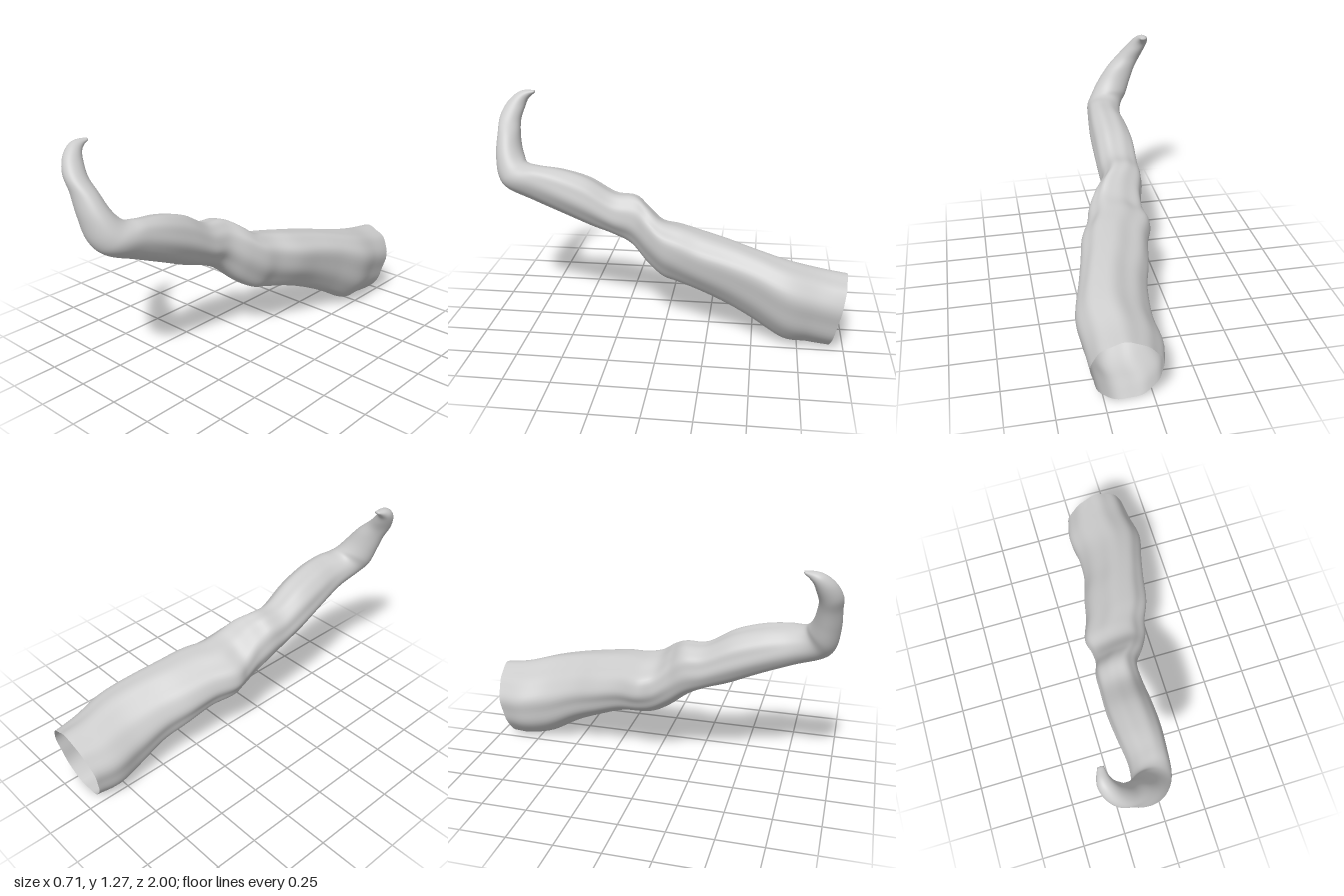
import * as THREE from 'three';

// Cross-section stations:
// top z, top y, bottom z, bottom y, x min, x max, skew, flattening of the lower left corner
const sleeve = [
  [-1.0, 0.42, -0.92, 0.0, -0.04, 0.325, 0.2, 0],
  [-0.86, 0.44, -0.8, 0.012, -0.065, 0.335, 0.25, -0.05],
  [-0.68, 0.485, -0.67, 0.035, -0.05, 0.35, 0.3, -0.02],
  [-0.5, 0.53, -0.5, 0.13, -0.06, 0.305, 0.35, 0.04],
  [-0.35, 0.565, -0.35, 0.2, -0.1, 0.27, 0.33, 0.08],
  [-0.2, 0.595, -0.2, 0.255, -0.13, 0.24, 0.3, 0.14],
  [-0.08, 0.615, -0.07, 0.28, -0.172, 0.19, 0.35, 0.2],
  [0.02, 0.64, 0.01, 0.3, -0.155, 0.165, 0.38, 0.16],
  [0.1, 0.7, 0.1, 0.36, -0.155, 0.12, 0.28, 0.08],
  [0.18, 0.745, 0.2, 0.45, -0.18, 0.06, 0.15, 0.02],
  [0.3, 0.755, 0.3, 0.5, -0.185, 0.055, 0.1, 0],
  [0.45, 0.84, 0.43, 0.545, -0.19, 0.06, 0.15, 0],
  [0.6, 0.885, 0.58, 0.61, -0.18, 0.06, 0.2, -0.03],
];
const hook = [
  [0.73, 0.9, 0.77, 0.69, -0.165, 0.045, 0.25, -0.1],
  [0.805, 0.905, 0.92, 0.75, -0.185, 0.03, 0.15, -0.08],
  [0.835, 0.93, 0.98, 0.82, -0.225, 0.0, 0.05, 0.04],
  [0.86, 0.98, 1.0, 0.94, -0.255, -0.05, 0, 0.1],
  [0.876, 1.05, 1.0, 1.05, -0.287, -0.115, 0, 0.12],
  [0.882, 1.11, 1.0, 1.13, -0.322, -0.185, 0, 0.12],
  [0.868, 1.17, 0.97, 1.2, -0.348, -0.24, 0, 0.12],
  [0.855, 1.21, 0.92, 1.25, -0.358, -0.275, 0, 0.08],
  [0.835, 1.235, 0.87, 1.27, -0.352, -0.295, 0, 0],
  [0.81, 1.255, 0.81, 1.27, -0.335, -0.305, 0, 0],
];

// Rescale values to run exactly from 0 to 1
function normalised(values) {
  const lo = Math.min(...values), hi = Math.max(...values);
  return values.map((v) => (v - lo) / (hi - lo));
}

// Folded outline: upper right leans over, lower left is flattened or bulged
function outline(s, skew, flat, sides) {
  const fold = 0.02 * (1 - THREE.MathUtils.smoothstep(s, 0.5, 0.66));
  const us = [], vs = [];
  for (let j = 0; j < sides; j++) {
    const t = (j / sides) * Math.PI * 2;
    const upperRight = Math.cos(t - Math.PI / 4);
    const k = 1 + fold * (Math.sin(5 * t + 5 * s) + 0.8 * Math.sin(9 * t - 8 * s + 1))
      - flat * Math.max(0, -upperRight) ** 2;
    const lean = skew * (0.5 + 0.5 * upperRight);
    us.push(k * Math.cos(t));
    vs.push(k * Math.sin(t + lean));
  }
  return [normalised(us), normalised(vs)];
}

function limbGeometry(rings, sides) {
  const rows = [...sleeve, ...hook];
  const curve = (f) => new THREE.CatmullRomCurve3(rows.map(f), false, 'catmullrom', 0.5);
  const tops = curve((r) => new THREE.Vector3(r[4], r[1], r[0]));
  const bottoms = curve((r) => new THREE.Vector3(r[5], r[3], r[2]));
  const shapes = curve((r) => new THREE.Vector3(r[6], r[7], 0));
  const pos = [], index = [];

  for (let i = 0; i <= rings; i++) {
    const s = i / rings;
    const a = tops.getPoint(s), b = bottoms.getPoint(s), shape = shapes.getPoint(s);
    const [us, vs] = outline(s, shape.x, shape.y, sides);
    for (let j = 0; j < sides; j++) {
      pos.push(
        THREE.MathUtils.lerp(a.x, b.x, us[j]),
        THREE.MathUtils.lerp(b.y, a.y, vs[j]),
        THREE.MathUtils.lerp(b.z, a.z, vs[j]),
      );
      if (i === rings) continue;
      const p = i * sides + j, q = i * sides + (j + 1) % sides;
      index.push(p, q, p + sides, q, q + sides, p + sides);
    }
  }

  // Closed tip
  const tip = pos.length / 3, last = rings * sides;
  pos.push(-0.32, 1.262, 0.807);
  for (let j = 0; j < sides; j++) index.push(last + j, last + (j + 1) % sides, tip);

  const geo = new THREE.BufferGeometry();
  geo.setAttribute('position', new THREE.Float32BufferAttribute(pos, 3));
  geo.setIndex(index);
  geo.computeVertexNormals();
  return geo;
}

export function createModel() {
  const group = new THREE.Group();
  const material = new THREE.MeshStandardMaterial({ color: 0xcccccc, side: THREE.DoubleSide });
  const limb = new THREE.Mesh(limbGeometry(132, 64), material);
  limb.name = 'hookedSleeve';
  group.add(limb);
  return group;
}
